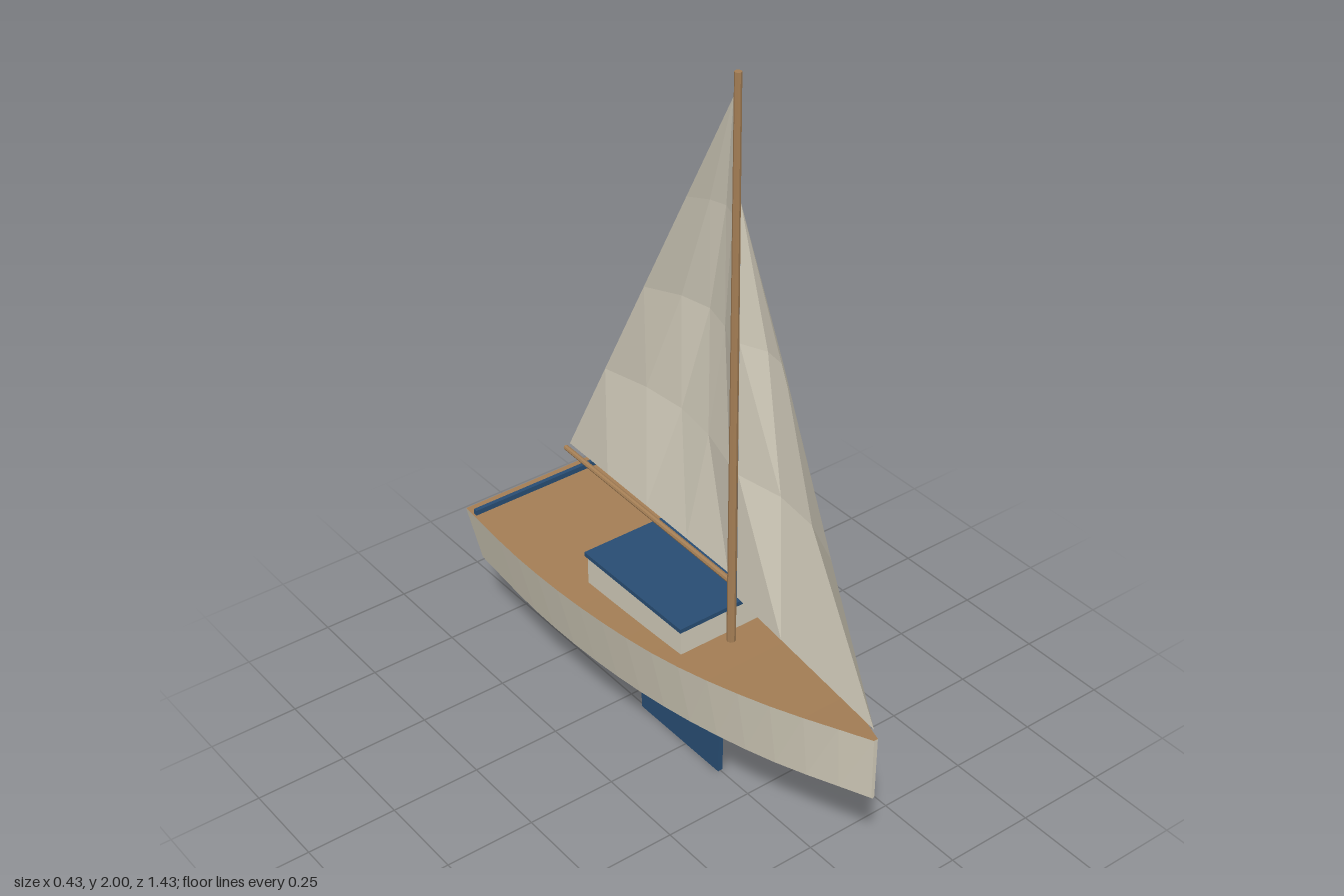
import * as THREE from 'three';

const material = (name, color, extra = {}) => {
  const m = new THREE.MeshStandardMaterial({ color, flatShading: true, ...extra });
  m.name = name;
  return m;
};

export function createModel() {
  const boat = new THREE.Group();
  boat.name = 'sailboat';
  const cream = material('cream', 0xd0cab8);
  const sailCloth = material('sailCloth', 0xd3cdbc, { side: THREE.DoubleSide });
  const wood = material('wood', 0xa47e55);
  const navy = material('navy', 0x284d73);

  const add = (name, geometry, mat, x = 0, y = 0, z = 0) => {
    const mesh = new THREE.Mesh(geometry, mat);
    mesh.name = name;
    mesh.position.set(x, y, z);
    boat.add(mesh);
    return mesh;
  };
  const box = (name, w, h, d, mat, y, z) => add(name, new THREE.BoxGeometry(w, h, d), mat, 0, y, z);
  const fromPoints = (points) => {
    const g = new THREE.BufferGeometry().setFromPoints(points);
    g.computeVertexNormals();
    return g;
  };

  // Hull: hard-chine sections, from stern to bow
  const stations = [ // z, half width, sheer y, chine y, keel y
    [-0.715, 0.200, 0.440, 0.257, 0.192],
    [-0.429, 0.217, 0.440, 0.245, 0.168],
    [-0.143, 0.209, 0.443, 0.245, 0.167],
    [0.143, 0.176, 0.453, 0.260, 0.190],
    [0.429, 0.105, 0.472, 0.283, 0.240],
    [0.715, 0.006, 0.500, 0.322, 0.318],
  ];
  const line = (fn) => new THREE.CatmullRomCurve3(
    stations.map((s) => new THREE.Vector3(...fn(s))), false, 'catmullrom', 0.5);
  const sheer = line(([z, w, top]) => [w, top, z]);
  const chine = line(([z, w, , c]) => [w * 0.78, c, z]);
  const keel = line(([z, , , , k]) => [0, k, z]);
  const mirror = (p) => new THREE.Vector3(-p.x, p.y, p.z);
  const N = 16;
  const sections = [];
  for (let i = 0; i <= N; i++) {
    const s = sheer.getPoint(i / N), c = chine.getPoint(i / N), k = keel.getPoint(i / N);
    sections.push([s, c, k, mirror(c), mirror(s)]);
  }
  const hull = [], deck = [];
  for (let i = 0; i < N; i++) {
    const p = sections[i], q = sections[i + 1];
    for (let j = 0; j < 5; j++) {
      const k = (j + 1) % 5;
      (j === 4 ? deck : hull).push(p[j], q[j], q[k], p[j], q[k], p[k]);
    }
  }
  for (let j = 1; j < 4; j++) { // transom and stem
    const a = sections[0], b = sections[N];
    hull.push(a[0], a[j], a[j + 1], b[0], b[j + 1], b[j]);
  }
  add('hull', fromPoints(hull), cream);
  add('deck', fromPoints(deck), wood);

  // Cabin, roof, stern rail and keel fin
  box('cabin', 0.265, 0.125, 0.39, cream, 0.4625, -0.052);
  box('cabinRoof', 0.276, 0.012, 0.402, navy, 0.53, -0.053);
  box('sternRail', 0.394, 0.018, 0.012, navy, 0.446, -0.675);
  box('keelFin', 0.015, 0.2, 0.33, navy, 0.1, -0.028);

  // Spars
  const spar = (name, r0, r1, from, to) => {
    const a = new THREE.Vector3(...from), b = new THREE.Vector3(...to);
    const mid = a.clone().add(b).multiplyScalar(0.5);
    const mesh = add(name, new THREE.CylinderGeometry(r1, r0, a.distanceTo(b), 8), wood, mid.x, mid.y, mid.z);
    mesh.quaternion.setFromUnitVectors(new THREE.Vector3(0, 1, 0), b.sub(a).normalize());
  };
  spar('mast', 0.012, 0.009, [0, 0.43, 0.175], [0, 2, 0.175]);
  spar('boom', 0.008, 0.007, [0, 0.635, 0.175], [0, 0.657, -0.525]);

  // Sails: triangles narrowing to the head, bellied towards +x
  const sail = (name, foot0, foot1, head, belly, n) => {
    const at = (i, j) => {
      const u = i / n, v = j / n;
      const p = new THREE.Vector3(...foot0).lerp(new THREE.Vector3(...foot1), u)
        .lerp(new THREE.Vector3(...head), v);
      p.x += belly * Math.sin(Math.PI * u) * Math.sin(Math.PI * v);
      return p;
    };
    const pts = [];
    for (let j = 0; j < n; j++) {
      for (let i = 0; i < n; i++) {
        const a = at(i, j), b = at(i + 1, j), c = at(i + 1, j + 1), d = at(i, j + 1);
        pts.push(a, b, c);
        if (j < n - 1) pts.push(a, c, d);
      }
    }
    // the last row closes on the head point
    add(name, fromPoints(pts), sailCloth);
  };
  sail('mainSail', [0, 0.655, 0.16], [0, 0.68, -0.505], [0, 1.935, 0.16], 0.07, 4);
  sail('jib', [0, 0.525, 0.707], [0, 0.6, 0.195], [0, 1.69, 0.19], 0.05, 3);

  return boat;
}
